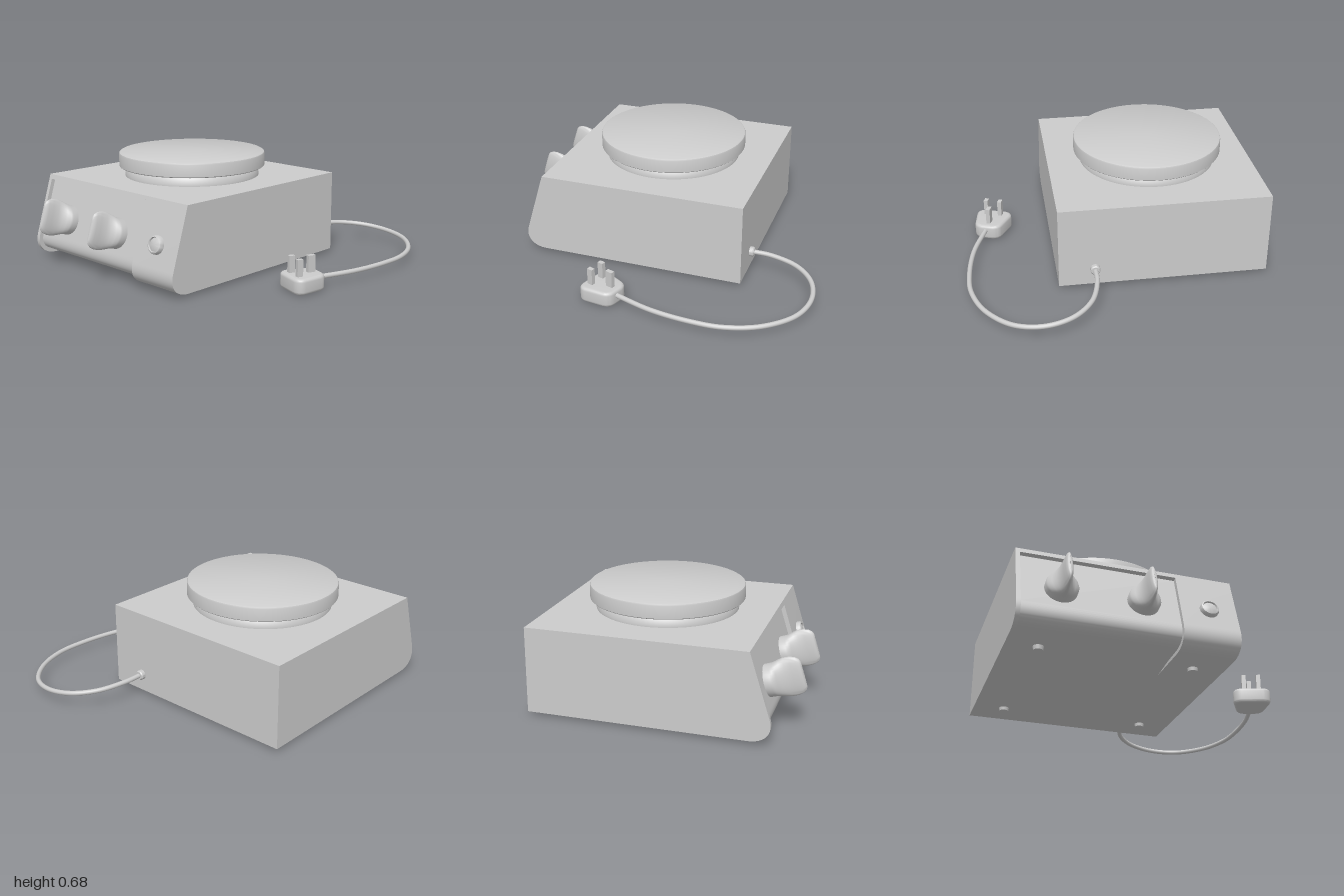
import * as THREE from 'three';
import { toCreasedNormals } from 'three/addons/utils/BufferGeometryUtils.js';

const grey = new THREE.MeshStandardMaterial({ color: 0xcccccc });

function add(parent, name, geometry, x = 0, y = 0, z = 0) {
  const mesh = new THREE.Mesh(geometry, grey);
  mesh.name = name;
  mesh.position.set(x, y, z);
  parent.add(mesh);
  return mesh;
}

// Turned part from [radius, height] pairs
function turned(profile, segments = 64) {
  const points = profile.map(([r, y]) => new THREE.Vector2(r, y));
  return toCreasedNormals(new THREE.LatheGeometry(points, segments), 0.6);
}

// Housing slice: a side profile (z, y) extruded from x0 to x1
function slice(draw, x0, x1) {
  const shape = new THREE.Shape();
  draw(shape);
  const g = new THREE.ExtrudeGeometry(shape, { depth: x1 - x0, bevelEnabled: false, curveSegments: 20 });
  g.rotateY(Math.PI / 2).translate(x0, 0, 0);
  return toCreasedNormals(g, 0.5);
}

function fullProfile(s) {
  s.moveTo(0.535, 0.025);
  s.lineTo(0.535, 0.53);
  s.lineTo(-0.74, 0.53);
  s.lineTo(-0.855, 0.165);
  s.bezierCurveTo(-0.885, 0.07, -0.82, 0.025, -0.74, 0.025);
  s.closePath();
}

function recessedProfile(s) {
  s.moveTo(0.535, 0.025);
  s.lineTo(0.535, 0.53);
  s.lineTo(-0.74, 0.53);
  s.lineTo(-0.749, 0.502);
  s.lineTo(-0.724, 0.495);
  s.lineTo(-0.829, 0.165);
  s.bezierCurveTo(-0.857, 0.08, -0.8, 0.047, -0.72, 0.047);
  s.lineTo(-0.6, 0.042);
  s.lineTo(-0.44, 0.025);
  s.closePath();
}

// Knob: round skirt lofted into a narrow grip; sections are [height, half width, half length]
function knobGeometry() {
  const sections = [
    [0, 0.092, 0.092], [0.04, 0.092, 0.093], [0.052, 0.086, 0.095], [0.068, 0.066, 0.1],
    [0.088, 0.045, 0.107], [0.115, 0.032, 0.113], [0.15, 0.025, 0.112], [0.18, 0.021, 0.104],
    [0.198, 0.016, 0.09], [0.206, 0.008, 0.075], [0.207, 0.0005, 0.06],
  ];
  const n = 40, positions = [], index = [];
  sections.forEach(([h, w, l], i) => {
    for (let j = 0; j < n; j++) {
      const a = (j / n) * Math.PI * 2;
      positions.push(w * Math.cos(a), l * Math.sin(a), h);
      if (i === sections.length - 1) continue;
      const p = i * n + j, q = i * n + (j + 1) % n;
      index.push(p, q, q + n, p, q + n, p + n);
    }
  });
  const g = new THREE.BufferGeometry();
  g.setAttribute('position', new THREE.Float32BufferAttribute(positions, 3));
  g.setIndex(index);
  return toCreasedNormals(g, 0.9);
}

export function createModel() {
  const model = new THREE.Group();
  model.name = 'hotPlate';

  // Housing with a recessed control panel
  const housing = new THREE.Group();
  housing.name = 'housing';
  model.add(housing);
  add(housing, 'housingEdge', slice(fullProfile, -0.905, -0.88));
  add(housing, 'housingControlSection', slice(recessedProfile, -0.88, 0.02));
  add(housing, 'housingSideSection', slice(fullProfile, 0.02, 0.36));

  // Heating plate on its collar
  add(model, 'plateCollar', turned([
    [0, 0], [0.423, 0], [0.423, 0.012], [0.412, 0.045], [0.405, 0.052], [0, 0.052],
  ], 96), -0.27, 0.53, 0.102);
  add(model, 'heatingPlate', turned([
    [0, 0], [0.455, 0], [0.46, 0.005], [0.46, 0.078], [0.457, 0.086], [0.448, 0.091], [0, 0.091],
  ], 96), -0.27, 0.589, 0.102);
  add(model, 'plateNeck', new THREE.CylinderGeometry(0.39, 0.39, 0.03, 64), -0.27, 0.583, 0.102);

  // Control knobs, square to the sloping panel
  const knob = knobGeometry();
  for (const x of [-0.655, -0.19]) add(model, 'knob', knob, x, 0.28, 0.79).rotation.x = -0.305;

  // Indicator lamp
  const lamp = new THREE.Group();
  lamp.name = 'indicatorLamp';
  lamp.position.set(0.19, 0.288, 0.816);
  lamp.rotation.x = -0.305;
  model.add(lamp);
  add(lamp, 'lampBezel', turned([
    [0.055, -0.01], [0.055, 0.016], [0.05, 0.026], [0.043, 0.029], [0.04, 0.024], [0.04, 0],
  ], 40).rotateX(Math.PI / 2));
  add(lamp, 'lampLens', turned([
    [0.04, 0], [0.04, 0.02], [0.025, 0.026], [0, 0.028],
  ], 40).rotateX(Math.PI / 2));

  // Feet
  for (const x of [-0.72, 0.175]) {
    for (const z of [0.59, -0.345]) {
      add(model, 'foot', new THREE.CylinderGeometry(0.031, 0.028, 0.024, 24), x, 0.017, z);
    }
  }

  // Power cable and its strain relief
  add(model, 'cableBush', turned([
    [0, 0], [0.03, 0], [0.03, 0.022], [0.024, 0.03], [0, 0.03],
  ], 32).rotateX(-Math.PI / 2), 0.145, 0.13, -0.534);
  const path = new THREE.CatmullRomCurve3([
    [0.145, 0.13, -0.54], [0.15, 0.128, -0.67], [0.205, 0.117, -0.84], [0.32, 0.102, -0.95],
    [0.48, 0.086, -0.986], [0.65, 0.073, -0.935], [0.8, 0.066, -0.775], [0.874, 0.065, -0.58],
    [0.882, 0.065, -0.4], [0.85, 0.065, -0.15], [0.765, 0.065, 0.11],
  ].map((p) => new THREE.Vector3(...p)));
  add(model, 'cable', new THREE.TubeGeometry(path, 120, 0.0145, 14));

  // Three-pin plug lying on its back
  const plug = new THREE.Group();
  plug.name = 'plug';
  plug.position.set(0.725, 0, 0.195);
  plug.rotation.y = -0.336;
  model.add(plug);
  const outline = new THREE.Shape();
  outline.moveTo(-0.03, -0.098);
  outline.lineTo(0.03, -0.098);
  outline.quadraticCurveTo(0.062, -0.095, 0.07, -0.065);
  outline.lineTo(0.093, 0.045);
  outline.quadraticCurveTo(0.097, 0.075, 0.065, 0.08);
  outline.lineTo(-0.065, 0.08);
  outline.quadraticCurveTo(-0.097, 0.075, -0.093, 0.045);
  outline.lineTo(-0.07, -0.065);
  outline.quadraticCurveTo(-0.062, -0.095, -0.03, -0.098);
  const body = new THREE.ExtrudeGeometry(outline, {
    depth: 0.055, bevelThickness: 0.02, bevelSize: 0.02, bevelSegments: 5, curveSegments: 8,
  });
  body.rotateX(Math.PI / 2).translate(0, 0.08, 0);
  add(plug, 'plugBody', toCreasedNormals(body, 0.6));
  add(plug, 'earthPin', new THREE.BoxGeometry(0.026, 0.11, 0.046), -0.002, 0.145, -0.057);
  for (const side of [-1, 1]) {
    add(plug, 'powerPin', new THREE.BoxGeometry(0.026, 0.11, 0.036), side * 0.045, 0.145, 0.048);
  }
  return model;
}
